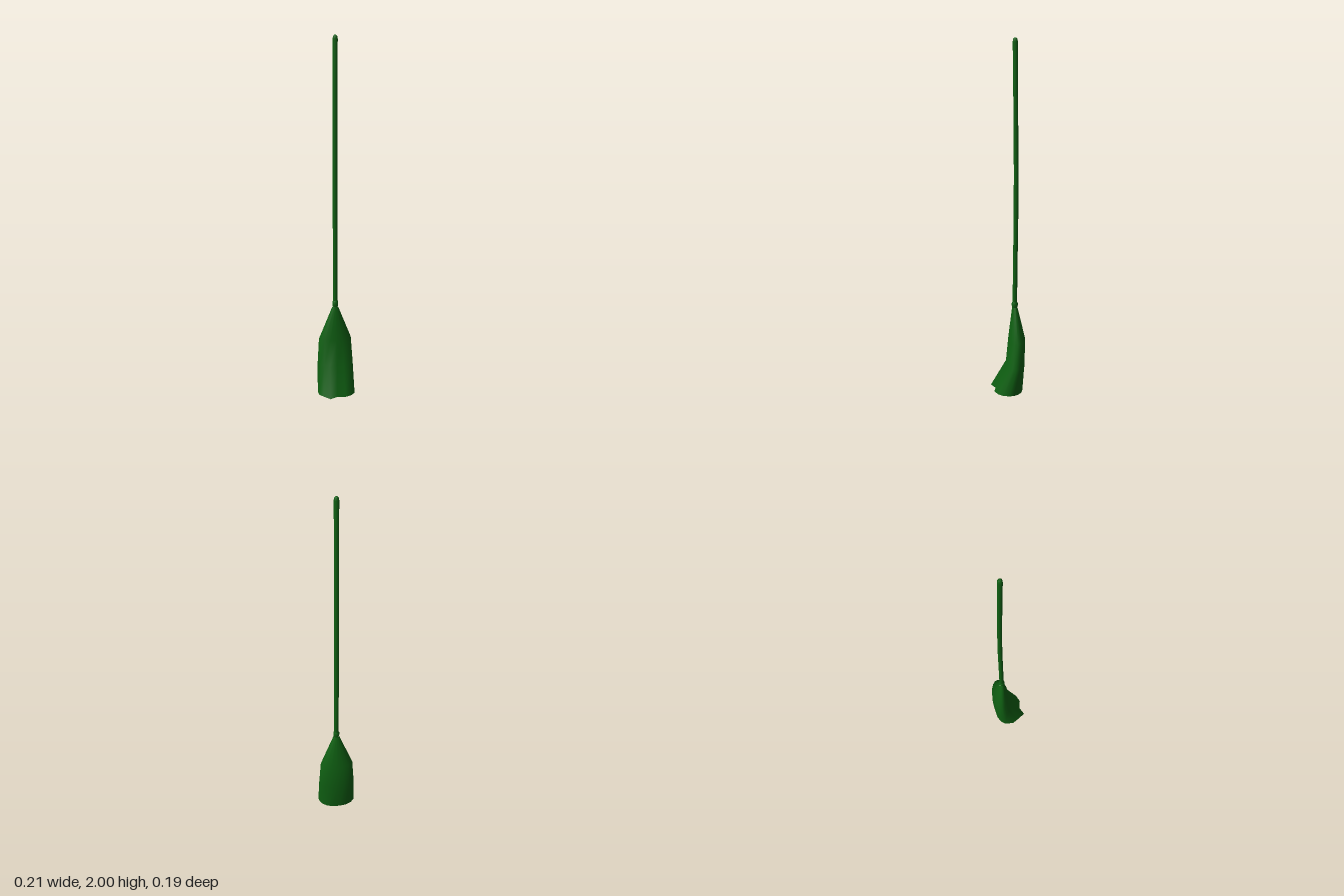
import * as THREE from 'three';

const green = new THREE.MeshStandardMaterial({ color: 0x0f5f12 });

// Elliptical cross-section: points run from +x towards +z
function ring(y, z, rx, rz, sides) {
  return Array.from({ length: sides }, (_, i) => {
    const a = (i / sides) * Math.PI * 2;
    return [rx * Math.cos(a), y, z + rz * Math.sin(a)];
  });
}

// Smooth skin over rings listed from bottom to top
function loft(name, rings) {
  const n = rings[0].length, index = [];
  for (let r = 0; r < rings.length - 1; r++) {
    for (let i = 0; i < n; i++) {
      const j = (i + 1) % n, a = r * n, b = a + n;
      index.push(a + i, b + i, a + j, a + j, b + i, b + j);
    }
  }
  return meshFrom(name, rings.flat(), index);
}

// Flat fan closing a ring, facing down or up
function cap(name, points, up) {
  const n = points.length, index = [];
  const mid = [0, 1, 2].map(k => points.reduce((s, p) => s + p[k], 0) / n);
  for (let i = 0; i < n; i++) {
    const j = (i + 1) % n;
    index.push(n, up ? j : i, up ? i : j);
  }
  return meshFrom(name, [...points, mid], index);
}

function meshFrom(name, points, index) {
  const geo = new THREE.BufferGeometry();
  geo.setAttribute('position', new THREE.Float32BufferAttribute(points.flat(), 3));
  geo.setIndex(index);
  geo.computeVertexNormals();
  const mesh = new THREE.Mesh(geo, green);
  mesh.name = name;
  return mesh;
}

export function createModel() {
  const broom = new THREE.Group();
  broom.name = 'broom';

  // Uneven bristle edge with a swept tip and a notch, as x, z pairs
  const edge = [
    [0.104, 0.0], [0.095, 0.037], [0.07, 0.065], [0.032, 0.083],
    [-0.012, 0.073], [-0.055, 0.097], [-0.087, 0.05], [-0.105, 0.02],
    [-0.103, -0.03], [-0.085, -0.055], [-0.053, -0.073], [-0.012, -0.08],
    [0.03, -0.078], [0.06, -0.07], [0.085, -0.05], [0.1, -0.025],
  ].map(([x, z]) => [x, 0, z]);

  // Bristle head, narrowing to the neck
  broom.add(loft('bristles', [
    edge,
    ring(0.16, -0.039, 0.102, 0.054, 16),
    ring(0.31, -0.047, 0.092, 0.048, 16),
    ring(0.5, -0.036, 0.015, 0.015, 16),
  ]));
  broom.add(cap('bristleEnds', edge, false));

  // Binding at the neck
  broom.add(loft('binding', [
    ring(0.495, -0.036, 0.013, 0.013, 12),
    ring(0.51, -0.036, 0.017, 0.017, 12),
    ring(0.525, -0.036, 0.017, 0.017, 12),
    ring(0.535, -0.036, 0.012, 0.012, 12),
  ]));

  // Slightly bowed handle with a rounded end
  const stick = [
    [0.5, -0.036, 0.013], [0.8, -0.039, 0.013], [1.05, -0.042, 0.013],
    [1.3, -0.042, 0.013], [1.55, -0.04, 0.013], [1.75, -0.038, 0.013],
    [1.98, -0.036, 0.014], [1.993, -0.036, 0.012], [2.0, -0.036, 0.006],
  ].map(([y, z, r]) => ring(y, z, r, r, 10));
  broom.add(loft('handle', stick));
  broom.add(cap('handleEnd', stick[stick.length - 1], true));

  return broom;
}
